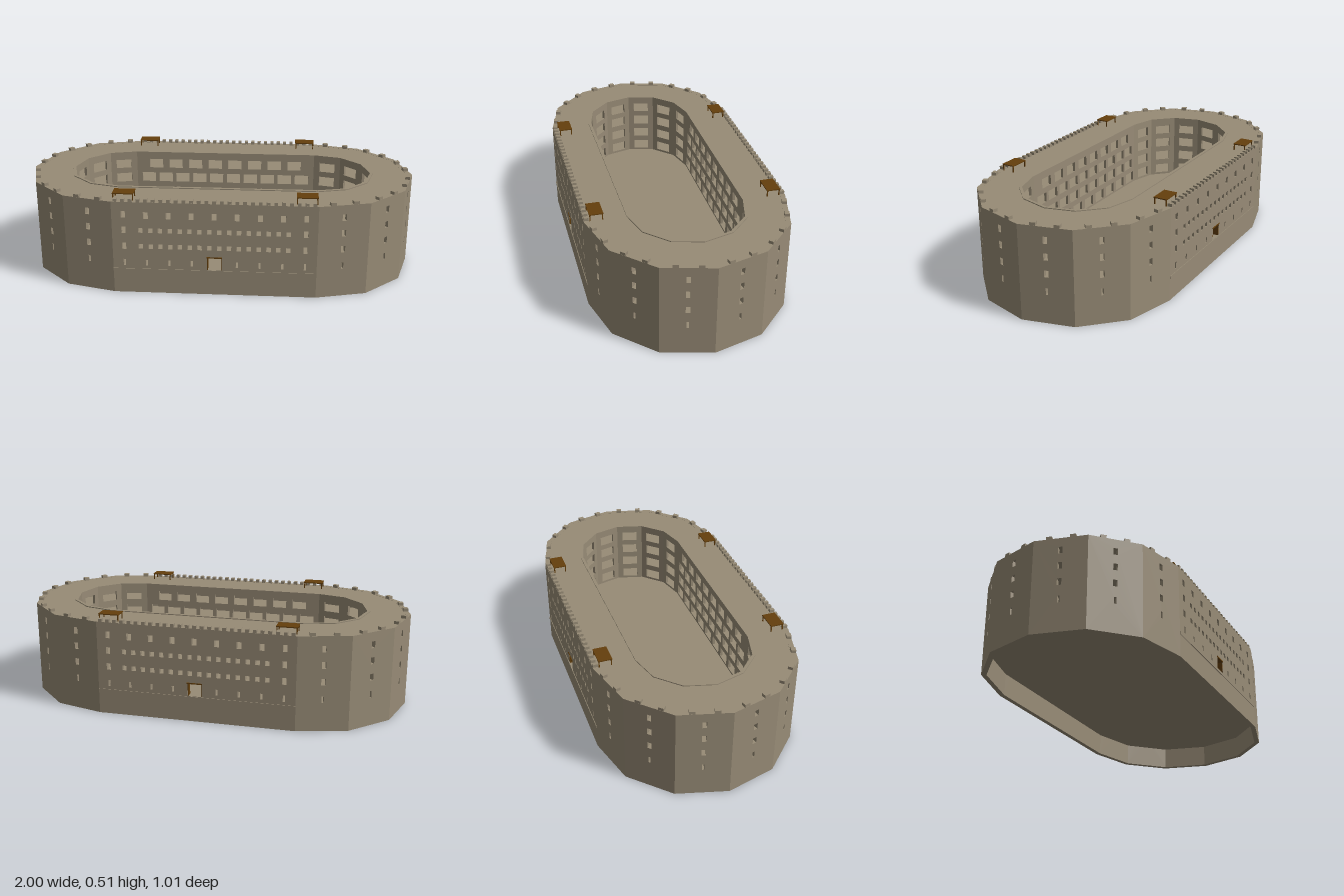
import * as THREE from 'three';

const stone = new THREE.MeshStandardMaterial({ color: 0x978b76 });
stone.name = 'stone';
const wood = new THREE.MeshStandardMaterial({ color: 0x643f0c });
wood.name = 'wood';

// Corners of the elongated outline: a 12-sided half round of radius r at each end
function outline(r) {
  const pts = [];
  for (const end of [0, 1]) {
    for (let i = 0; i <= 6; i++) {
      const a = -Math.PI / 2 + (i * Math.PI) / 6 + end * Math.PI;
      pts.push(new THREE.Vector2((end ? -0.5 : 0.5) + r * Math.cos(a), r * Math.sin(a)));
    }
  }
  return pts;
}

function box(name, mat, w, h, d, x, y, z) {
  const m = new THREE.Mesh(new THREE.BoxGeometry(w, h, d), mat);
  m.name = name;
  m.position.set(x, y, z);
  return m;
}

// Horizontal slab following the outline, optionally open in the middle
function slab(name, rOut, rIn, top, thick) {
  const shape = new THREE.Shape(outline(rOut));
  if (rIn) shape.holes.push(new THREE.Path(outline(rIn)));
  const geo = new THREE.ExtrudeGeometry(shape, { depth: thick, bevelEnabled: false });
  geo.rotateX(Math.PI / 2);
  const m = new THREE.Mesh(geo, stone);
  m.name = name;
  m.position.y = top;
  return m;
}

// Wall panels around the outline; local x runs along the wall, local z points inwards
function wallRing(name, r, y0, y1, thick, openings, extras) {
  const ring = new THREE.Group();
  ring.name = name;
  const pts = outline(r);
  pts.forEach((a, i) => {
    const b = pts[(i + 1) % pts.length];
    const len = a.distanceTo(b);
    const half = len / 2;
    const isLong = len > 0.9;
    const shape = new THREE.Shape([
      new THREE.Vector2(-half, y0), new THREE.Vector2(half, y0),
      new THREE.Vector2(half, y1), new THREE.Vector2(-half, y1),
    ]);
    for (const [x, y, w, h] of openings(isLong)) {
      const p = new THREE.Path();
      p.moveTo(x - w / 2, y - h / 2).lineTo(x - w / 2, y + h / 2);
      p.lineTo(x + w / 2, y + h / 2).lineTo(x + w / 2, y - h / 2).closePath();
      shape.holes.push(p);
    }
    const panel = new THREE.Group();
    panel.name = isLong ? 'longSide' : 'endFacet';
    const wall = new THREE.Mesh(new THREE.ExtrudeGeometry(shape, { depth: thick, bevelEnabled: false }), stone);
    wall.name = 'wallPanel';
    panel.add(wall);
    const u = new THREE.Vector3((b.x - a.x) / len, 0, (b.y - a.y) / len);
    const up = new THREE.Vector3(0, 1, 0);
    panel.quaternion.setFromRotationMatrix(new THREE.Matrix4().makeBasis(u, up, u.clone().cross(up)));
    panel.position.set((a.x + b.x) / 2, 0, (a.y + b.y) / 2);
    if (extras) extras(panel, len, isLong);
    ring.add(panel);
  });
  return ring;
}

const spread = (n, pitch) => Array.from({ length: n }, (_, i) => (i - (n - 1) / 2) * pitch);

// Outer windows: [x, y, width, height]
function outerOpenings(isLong) {
  const list = [];
  for (const x of isLong ? [-0.443, 0.443] : [0]) {
    list.push([x, 0.163, 0.011, 0.034]);
    for (const y of [0.251, 0.335, 0.416]) list.push([x, y, 0.021, 0.034]);
  }
  if (isLong) {
    for (const x of spread(7, 0.111)) {
      list.push([x, 0.413, 0.024, 0.034]);
      if (Math.abs(x) > 0.05) list.push([x, 0.163, 0.011, 0.03]);
    }
    for (const x of spread(16, 0.048)) {
      list.push([x, 0.25, 0.022, 0.024], [x, 0.334, 0.022, 0.024]);
    }
    list.push([0, 0.165, 0.07, 0.066]);
  }
  return list;
}

// Gallery openings towards the courtyard
function innerOpenings(isLong) {
  const list = [];
  [0.168, 0.252, 0.336, 0.418].forEach((y, row) => {
    if (!isLong) list.push([0, y, 0.085, 0.052]);
    else if (row === 0) spread(9, 0.111).forEach((x) => list.push([x, y, 0.083, 0.056]));
    else if (row === 3) spread(8, 0.111).forEach((x) => list.push([x, y, 0.075, 0.052]));
    else spread(10, 0.096).forEach((x) => list.push([x, y, 0.076, 0.052]));
  });
  return list;
}

// Merlons, plus the ledge and gate on the long sides
function outerExtras(panel, len, isLong) {
  const xs = isLong ? spread(27, 0.037) : [-0.22 * len, 0.22 * len];
  const w = isLong ? 0.018 : 0.028;
  for (const x of xs) panel.add(box('merlon', stone, w, 0.016, 0.024, x, 0.487, 0.0125));
  if (!isLong) return;
  panel.add(box('ledge', stone, 1, 0.014, 0.01, 0, 0.123, 0.002));
  panel.add(box('gateLintel', wood, 0.078, 0.006, 0.03, 0, 0.199, 0.012));
  for (const s of [-1, 1]) panel.add(box('gateLeaf', wood, 0.004, 0.064, 0.034, s * 0.034, 0.163, 0.018));
}

// Small open shelter on the roof
function shelter(sx, sz) {
  const g = new THREE.Group();
  g.name = 'roofShelter';
  g.position.set(sx * 0.445, 0, sz * 0.44);
  g.add(box('shelterRoof', wood, 0.104, 0.005, 0.068, 0, 0.5125, 0));
  for (const x of [-1, 1]) {
    for (const z of [-1, 1]) g.add(box('shelterPost', wood, 0.005, 0.032, 0.005, x * 0.048, 0.495, z * 0.03));
  }
  return g;
}

export function createModel() {
  const model = new THREE.Group();
  model.name = 'ovalFortress';
  model.add(wallRing('outerWall', 0.5, 0, 0.48, 0.025, outerOpenings, outerExtras));
  model.add(wallRing('courtyardWall', 0.296, 0.12, 0.478, 0.014, innerOpenings));

  // Ground floor, gallery floors and roof terrace
  model.add(slab('groundFloor', 0.485, 0, 0.13, 0.014));
  for (const y of [0.212, 0.296, 0.378]) model.add(slab('galleryFloor', 0.485, 0.285, y, 0.008));
  model.add(slab('roofTerrace', 0.485, 0.285, 0.4795, 0.02));
  model.add(slab('roofCurb', 0.296, 0.281, 0.484, 0.006));

  for (const sx of [-1, 1]) for (const sz of [-1, 1]) model.add(shelter(sx, sz));
  return model;
}
